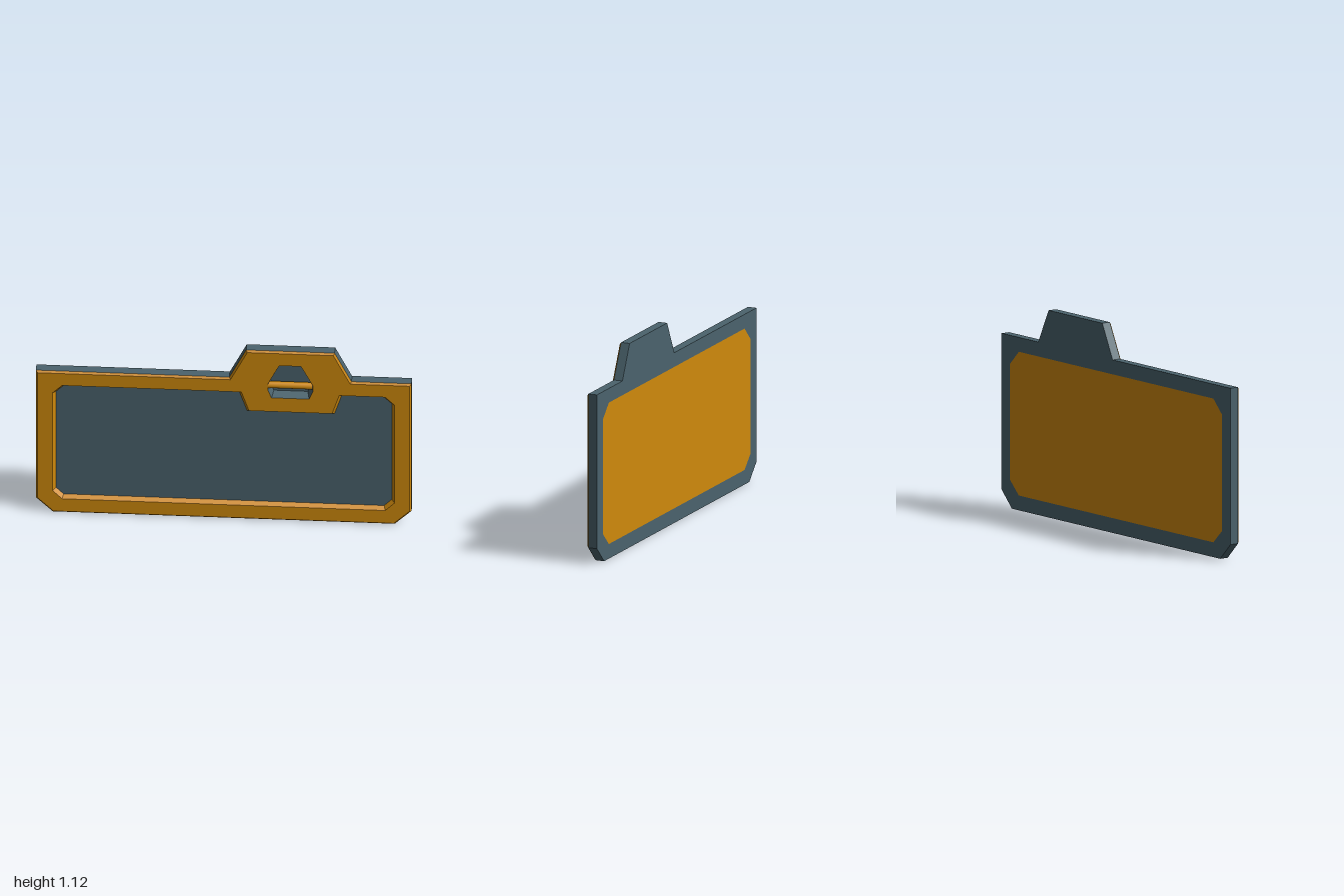
import * as THREE from 'three';

const orange = new THREE.MeshStandardMaterial({ color: 0xd08a0c });
orange.name = 'amber';
const slate = new THREE.MeshStandardMaterial({ color: 0x4b636d });
slate.name = 'slate';

const BACK = -0.03, EDGE = 0.02, FRONT = 0.03, SCREEN = 0.007, POCKET = -0.02;

// All outlines run counter-clockwise seen from the front
const outline = [[-1, 0.09], [-0.91, 0], [0.91, 0], [1, 0.09], [1, 0.935], [0.68, 0.935],
  [0.59, 1.12], [0.12, 1.12], [0.03, 0.935], [-1, 0.935]];
const opening = [[-0.91, 0.145], [-0.86, 0.093], [0.86, 0.093], [0.91, 0.145], [0.91, 0.795],
  [0.86, 0.846], [0.615, 0.846], [0.577, 0.724], [0.135, 0.724], [0.095, 0.846],
  [-0.86, 0.846], [-0.91, 0.795]];
const slot = [[0.235, 0.865], [0.255, 0.815], [0.455, 0.815], [0.475, 0.865], [0.475, 0.905],
  [0.412, 1.03], [0.296, 1.03], [0.235, 0.905]];
const backPanelOutline = [[-0.925, 0.152], [-0.85, 0.08], [0.85, 0.08], [0.925, 0.152],
  [0.925, 0.782], [0.85, 0.857], [-0.85, 0.857], [-0.925, 0.782]];

// Move every edge of a polygon inward by d
function inset(points, d) {
  const n = points.length;
  return points.map((p, i) => {
    const a = points[(i + n - 1) % n], b = points[(i + 1) % n];
    const u = new THREE.Vector2(p[0] - a[0], p[1] - a[1]).normalize();
    const v = new THREE.Vector2(b[0] - p[0], b[1] - p[1]).normalize();
    const k = d / (1 + u.dot(v));
    return [p[0] - (u.y + v.y) * k, p[1] + (u.x + v.x) * k];
  });
}

function add(group, name, geometry, material) {
  const mesh = new THREE.Mesh(geometry, material);
  mesh.name = name;
  group.add(mesh);
  return mesh;
}

// Flat band of quads joining two rings
function band(ringA, zA, ringB, zB) {
  const pos = [];
  ringA.forEach((p, i) => {
    const j = (i + 1) % ringA.length;
    const a = [...p, zA], b = [...ringA[j], zA], c = [...ringB[j], zB], d = [...ringB[i], zB];
    pos.push(...a, ...b, ...c, ...a, ...c, ...d);
  });
  const g = new THREE.BufferGeometry();
  g.setAttribute('position', new THREE.Float32BufferAttribute(pos, 3));
  g.computeVertexNormals();
  return g;
}

// Flat face with optional holes, facing front or back
function face(points, holes, z, backwards = false) {
  const s = backwards ? -1 : 1;
  const toVec = list => list.map(p => new THREE.Vector2(p[0] * s, p[1]));
  const shape = new THREE.Shape(toVec(points));
  holes.forEach(h => shape.holes.push(new THREE.Path(toVec(h))));
  const g = new THREE.ShapeGeometry(shape);
  if (backwards) g.rotateY(Math.PI);
  return g.translate(0, 0, z);
}

export function createModel() {
  const group = new THREE.Group();
  group.name = 'signPanel';

  // Slate body
  add(group, 'bodySides', band(outline, BACK, outline, EDGE), slate);
  add(group, 'bodyBack', face(outline, [backPanelOutline], BACK, true), slate);
  add(group, 'backPanel', face(backPanelOutline, [], BACK, true), orange);

  // Bevelled front frame with the badge
  const rim = inset(outline, 0.01);
  add(group, 'frameBevel', band(outline, EDGE, rim, FRONT), orange);
  add(group, 'frameFront', face(rim, [opening, slot], FRONT), orange);

  // Recessed screen with sloping edges
  const screen = inset(opening, 0.016);
  add(group, 'screenEdge', band(opening, FRONT, screen, SCREEN), orange);
  add(group, 'screen', face(screen, [], SCREEN), slate);

  // Pocket in the badge with its crossbar
  const floor = inset(slot, 0.014);
  add(group, 'pocketWalls', band(slot, FRONT, floor, POCKET), slate);
  add(group, 'pocketFloor', face(floor, [], POCKET), slate);
  const bar = new THREE.CylinderGeometry(0.019, 0.019, 0.238, 12);
  bar.rotateZ(Math.PI / 2);
  add(group, 'crossbar', bar, orange).position.set(0.355, 0.888, 0.009);

  return group;
}
